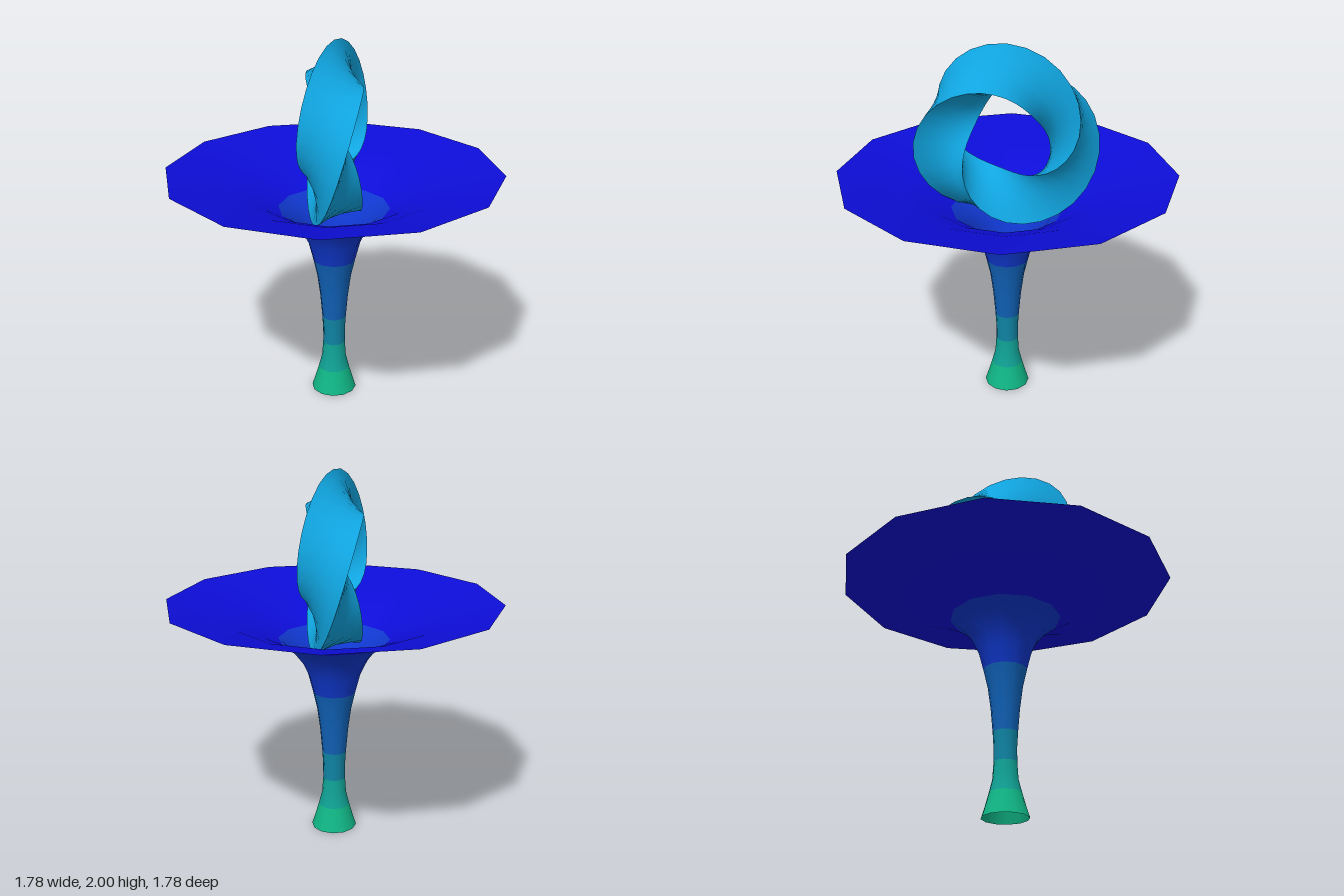
import * as THREE from 'three';

const mat = (name, color, side = THREE.FrontSide) => {
  const m = new THREE.MeshStandardMaterial({ color, side });
  m.name = name;
  return m;
};

// Closed ring with a triangular section that makes one full turn on its way round
function twistedRing(R, c, around = 32, across = 5) {
  const pos = [], index = [];
  const corner = (phi, k) => {
    const psi = Math.PI / 2 - phi + (k * Math.PI * 2) / 3;
    const r = R + c * Math.cos(psi);
    return new THREE.Vector3(r * Math.cos(phi), r * Math.sin(phi), c * Math.sin(psi));
  };
  for (let k = 0; k < 3; k++) {
    const base = pos.length / 3; // each side has its own vertices, so edges stay sharp
    for (let i = 0; i < around; i++) {
      const phi = (i / around) * Math.PI * 2;
      const a = corner(phi, k), b = corner(phi, k + 1);
      for (let j = 0; j <= across; j++) pos.push(...a.clone().lerp(b, j / across).toArray());
    }
    const id = (i, j) => base + (i % around) * (across + 1) + j;
    for (let i = 0; i < around; i++) {
      for (let j = 0; j < across; j++) {
        index.push(id(i, j), id(i + 1, j), id(i, j + 1));
        index.push(id(i + 1, j), id(i + 1, j + 1), id(i, j + 1));
      }
    }
  }
  const g = new THREE.BufferGeometry();
  g.setAttribute('position', new THREE.Float32BufferAttribute(pos, 3));
  g.setIndex(index);
  g.computeVertexNormals();
  return g;
}

export function createModel() {
  const model = new THREE.Group();
  model.name = 'twistedRingOnTrumpet';

  // Hollow trumpet stand in coloured bands: [name, colour, profile of (radius, height)]
  const bands = [
    ['foot', 0x10b585, [[0.124, 0], [0.105, 0.06], [0.085, 0.13]]],
    ['ankle', 0x10a295, [[0.085, 0.13], [0.067, 0.2], [0.061, 0.29]]],
    ['lowerStem', 0x1085a5, [[0.061, 0.29], [0.061, 0.37], [0.066, 0.45]]],
    ['upperStem', 0x1062b8, [[0.066, 0.45], [0.077, 0.58], [0.093, 0.7], [0.116, 0.8]]],
    ['throat', 0x1038d0, [[0.116, 0.8], [0.142, 0.9], [0.18, 0.98], [0.23, 1.045], [0.3, 1.1]]],
    ['bell', 0x0d0dd8, [[0.3, 1.1], [0.4, 1.155], [0.555, 1.215], [0.9, 1.3]]],
  ];
  const stand = new THREE.Group();
  stand.name = 'stand';
  for (const [name, color, profile] of bands) {
    const pts = profile.map(([r, y]) => new THREE.Vector2(r, y));
    const mesh = new THREE.Mesh(new THREE.LatheGeometry(pts, 12), mat(name + 'Colour', color, THREE.DoubleSide));
    mesh.name = name;
    stand.add(mesh);
  }
  model.add(stand);

  // Ring sitting in the bell
  const ring = new THREE.Mesh(twistedRing(0.34, 0.16), mat('skyBlue', 0x10a5e0));
  ring.name = 'twistedRing';
  ring.position.y = 1.5;
  model.add(ring);

  // Turn everything to its resting angle
  for (const part of [stand, ring]) part.rotation.y = THREE.MathUtils.degToRad(51);
  return model;
}
